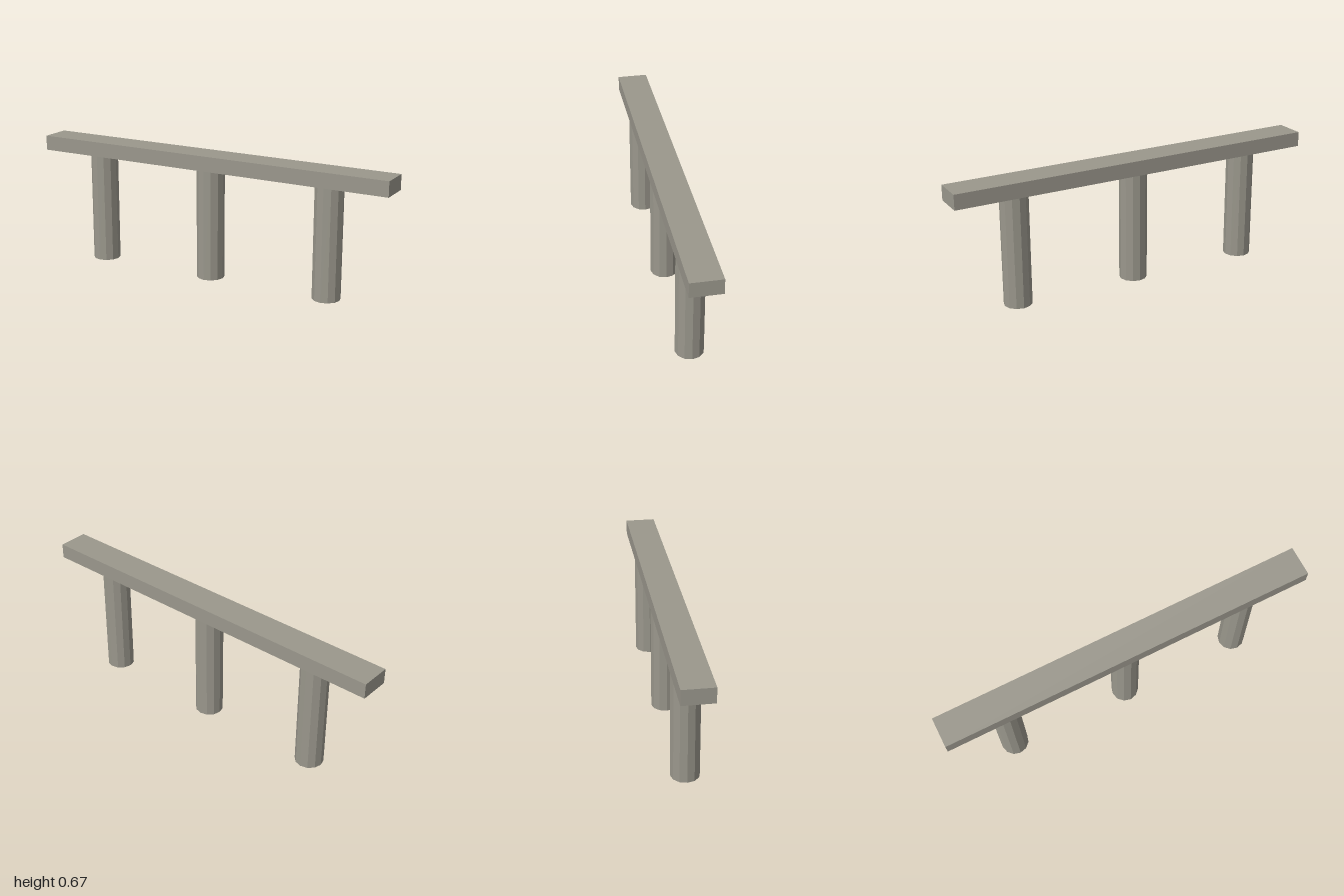
import * as THREE from 'three';

const LEG_HEIGHT = 0.588;
const BEAM_HEIGHT = 0.079;

export function createModel() {
  const model = new THREE.Group();
  model.name = 'beamOnPosts';

  const stone = new THREE.MeshStandardMaterial({ color: 0x9a978c, flatShading: true });
  stone.name = 'warm grey stone';

  // Long beam across the top
  const beam = new THREE.Mesh(new THREE.BoxGeometry(2, BEAM_HEIGHT, 0.16), stone);
  beam.name = 'beam';
  beam.position.y = LEG_HEIGHT + BEAM_HEIGHT / 2;
  model.add(beam);

  // Three twelve-sided posts, evenly spaced
  const postGeometry = new THREE.CylinderGeometry(0.073, 0.073, LEG_HEIGHT, 12);
  const names = ['rightPost', 'middlePost', 'leftPost'];
  names.forEach((name, i) => {
    const post = new THREE.Mesh(postGeometry, stone);
    post.name = name;
    post.position.set((i - 1) * 0.667, LEG_HEIGHT / 2, 0);
    model.add(post);
  });

  return model;
}
